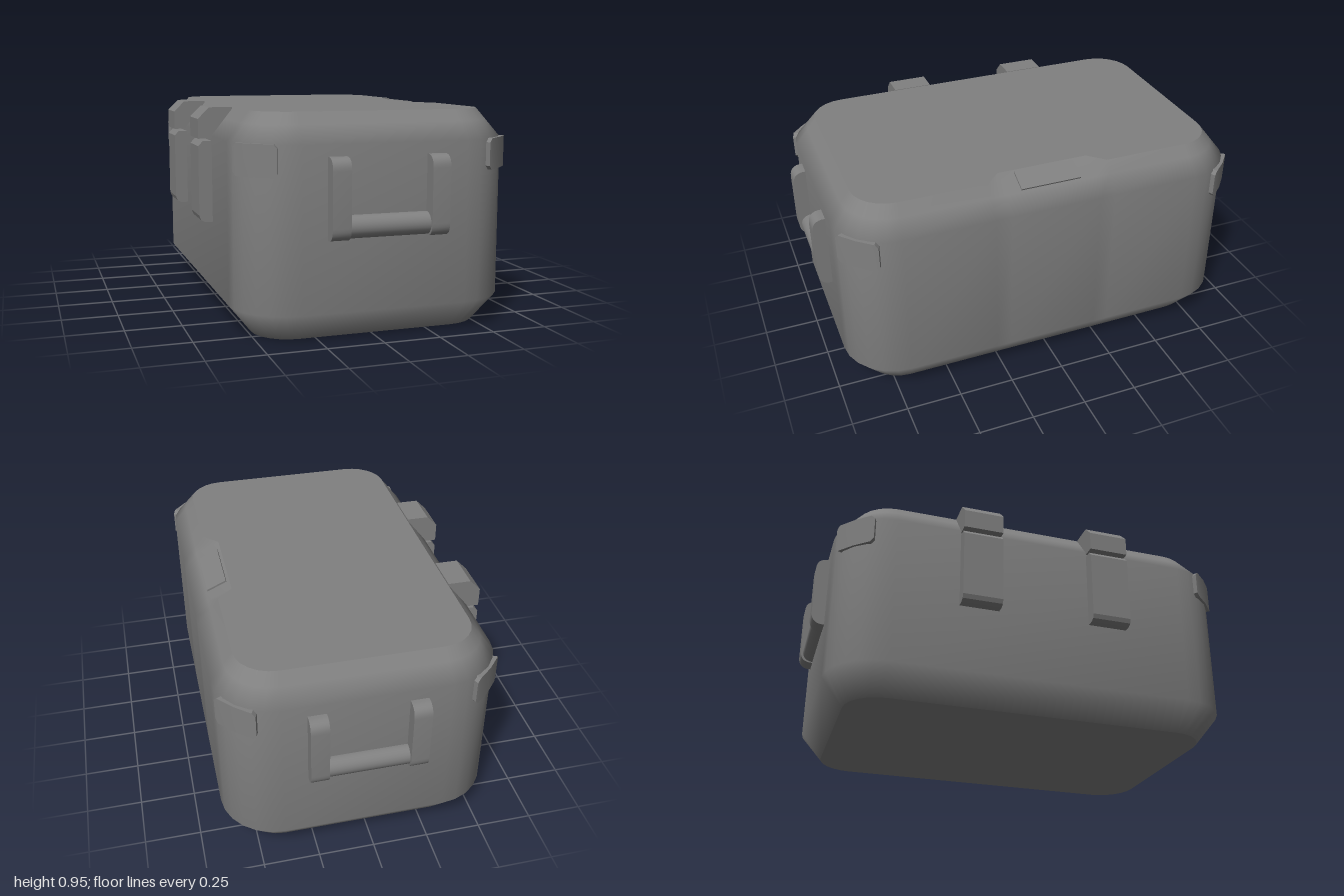
import * as THREE from 'three';
import { toCreasedNormals } from 'three/addons/utils/BufferGeometryUtils.js';

const CX = 0.0275; // middle of the case body in x

// Closed skin through equal-length loops of points, with separate flat end caps
function loft(sections) {
  const n = sections[0].length;
  const pos = sections.flat(2);
  const index = [];
  for (let j = 0; j < sections.length - 1; j++) {
    for (let i = 0; i < n; i++) {
      const k = (i + 1) % n;
      const a = j * n + i, b = j * n + k;
      index.push(a, a + n, b, b, a + n, b + n);
    }
  }
  [sections[0], sections[sections.length - 1]].forEach((loop, end) => {
    const start = pos.length / 3;
    const centre = [0, 1, 2].map((c) => loop.reduce((s, p) => s + p[c], 0) / n);
    pos.push(...centre, ...loop.flat());
    for (let i = 0; i < n; i++) {
      const a = start + 1 + i, b = start + 1 + ((i + 1) % n);
      if (end) index.push(start, b, a);
      else index.push(start, a, b);
    }
  });
  const g = new THREE.BufferGeometry();
  g.setAttribute('position', new THREE.Float32BufferAttribute(pos, 3));
  g.setIndex(index);
  g.computeVertexNormals();
  return g;
}

// Rounded rectangle at height y, with a shallow bay of given depth in the +x side
function ring(y, inset, bay = 0) {
  const r = 0.25 - inset * 0.85;
  const hx = 0.6125 - inset, hz = 0.94 - inset;
  const pts = [];
  const signs = [[1, -1], [1, 1], [-1, 1], [-1, -1]];
  signs.forEach(([sx, sz], q) => {
    for (let s = 0; s <= 6; s++) {
      const a = (q - 1 + s / 6) * Math.PI / 2;
      pts.push([CX + sx * (hx - r) + r * Math.cos(a), y, sz * (hz - r) + r * Math.sin(a)]);
    }
    if (q === 0) {
      for (const [z, d] of [[-0.28, 0], [-0.21, bay], [0.21, bay], [0.28, 0]]) {
        pts.push([CX + hx - d, y, z]);
      }
    }
  });
  return pts;
}

// Curved corner guard with clipped corners
function cornerPad(sx, sz) {
  const mid = Math.atan2(sz, sx);
  const columns = [[-22.5, 0.05], [-19, 0.067], [0, 0.067], [19, 0.067], [22.5, 0.05]];
  const sections = columns.map(([deg, h]) => {
    const a = mid + THREE.MathUtils.degToRad(deg);
    const outer = 0.26 + 0.01 * Math.abs(deg) / 22.5;
    return [[0.23, -h], [0.23, h], [outer, h], [outer, -h]].map(([r, y]) => [
      CX + sx * 0.3625 + r * Math.cos(a), 0.757 + y, sz * 0.69 + r * Math.sin(a),
    ]);
  });
  return toCreasedNormals(loft(sections), 0.45);
}

function prism(points, depth) {
  const shape = new THREE.Shape(points.map(([x, y]) => new THREE.Vector2(x, y)));
  return new THREE.ExtrudeGeometry(shape, { depth, bevelEnabled: false });
}

export function createModel() {
  const model = new THREE.Group();
  const grey = new THREE.MeshStandardMaterial({ color: 0x808080 });
  grey.name = 'grey';
  const add = (parent, name, geometry) => {
    const m = new THREE.Mesh(geometry, grey);
    m.name = name;
    parent.add(m);
    return m;
  };

  // Case with chamfered top and bottom
  add(model, 'caseBody', loft([
    ring(0, 0.1), ring(0.125, 0), ring(0.82, 0), ring(0.895, 0.06), ring(0.945, 0.1, 0.07),
  ]));

  // Sloped release button in the bay
  const button = add(model, 'releaseButton', new THREE.BoxGeometry(0.097, 0.014, 0.28));
  button.position.set(0.5275, 0.92, 0);
  button.rotation.z = -Math.atan2(0.05, 0.11);

  // Corner guards
  for (const sx of [-1, 1]) {
    for (const sz of [-1, 1]) add(model, 'cornerGuard', cornerPad(sx, sz));
  }

  // Hinges: a knuckle on the lid and a leaf on the wall
  const knuckle = [
    [-0.49, 0.945], [-0.595, 0.945], [-0.645, 0.895], [-0.645, 0.808], [-0.56, 0.808], [-0.49, 0.85],
  ];
  const leaf = [
    [-0.56, 0.797], [-0.625, 0.797], [-0.645, 0.775], [-0.645, 0.465],
    [-0.638, 0.445], [-0.618, 0.435], [-0.56, 0.435],
  ];
  for (const z of [-0.308, 0.303]) {
    const hinge = new THREE.Group();
    hinge.name = 'hinge';
    hinge.position.z = z - 0.0915;
    add(hinge, 'hingeKnuckle', prism(knuckle, 0.183));
    add(hinge, 'hingeLeaf', prism(leaf, 0.183));
    model.add(hinge);
  }

  // Carry handles: two rounded arms and a grip bar
  const arm = new THREE.Shape();
  arm.moveTo(0.9, 0.43);
  arm.lineTo(0.955, 0.43);
  arm.quadraticCurveTo(1, 0.435, 1, 0.485);
  arm.lineTo(1, 0.715);
  arm.quadraticCurveTo(1, 0.765, 0.955, 0.77);
  arm.lineTo(0.9, 0.77);
  const armGeometry = toCreasedNormals(
    new THREE.ExtrudeGeometry(arm, { depth: 0.08, bevelEnabled: false, curveSegments: 6 })
      .rotateY(-Math.PI / 2).translate(0.04, 0, 0), 0.6);
  const barGeometry = new THREE.CylinderGeometry(0.048, 0.048, 0.38, 24).rotateZ(Math.PI / 2);
  for (const turn of [0, Math.PI]) {
    const handle = new THREE.Group();
    handle.name = turn ? 'backHandle' : 'frontHandle';
    handle.position.x = CX;
    handle.rotation.y = turn;
    for (const s of [-1, 1]) add(handle, 'handleArm', armGeometry).position.x = s * 0.2165;
    add(handle, 'handleBar', barGeometry).position.set(0, 0.483, 0.942);
    model.add(handle);
  }
  return model;
}
